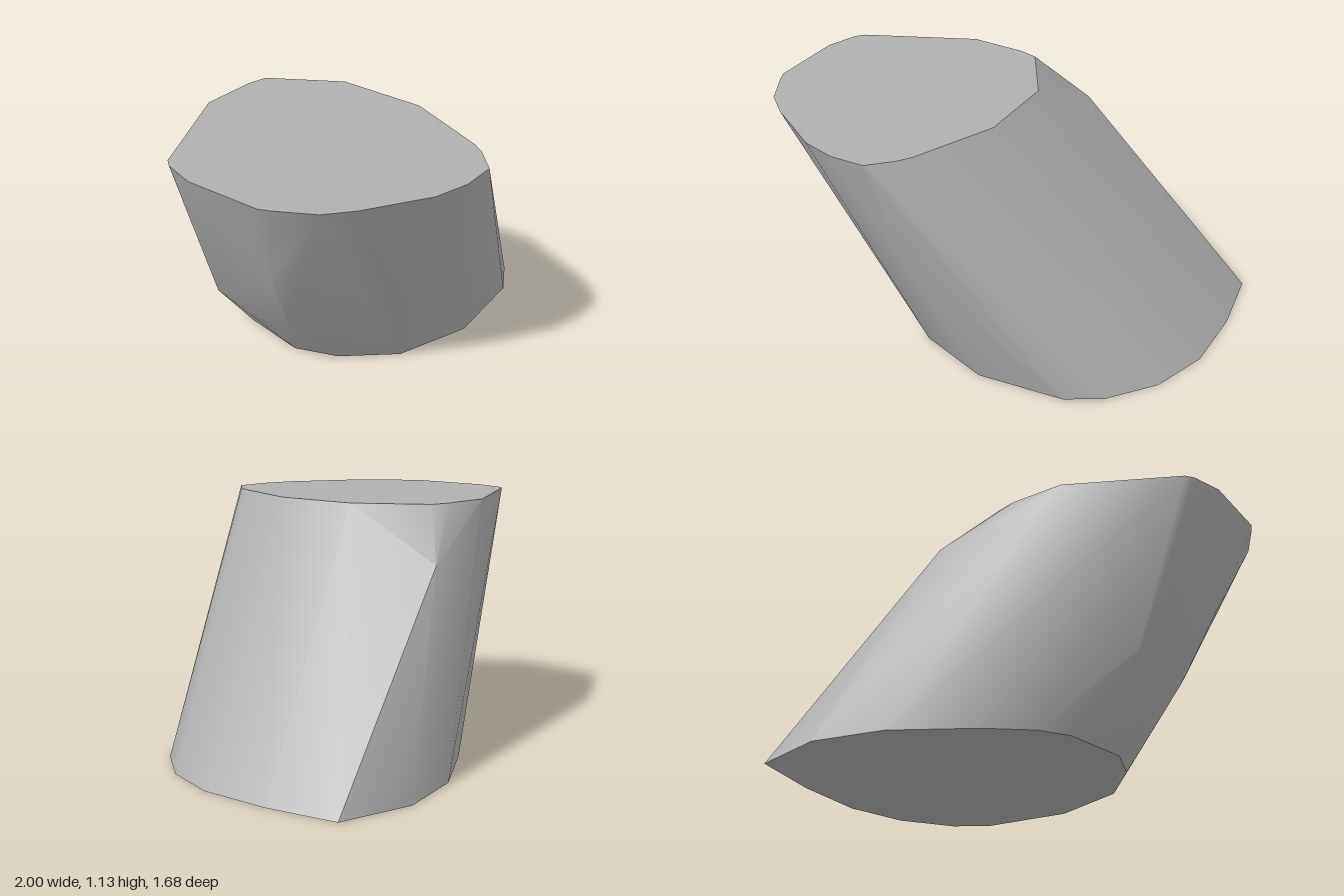
import * as THREE from 'three';
import { toCreasedNormals } from 'three/addons/utils/BufferGeometryUtils.js';
import { ConvexGeometry } from 'three/addons/geometries/ConvexGeometry.js';

const HEIGHT = 1.135;

// Flat outlines as [x, z]
const topOutline = [
  [-1, -0.07], [-0.95, -0.22], [-0.92, -0.255], [-0.42, -0.475], [-0.16, -0.46],
  [-0.075, -0.435], [0.11, -0.12], [0.11, 0.29], [-0.05, 0.68], [-0.09, 0.74],
  [-0.19, 0.838], [-0.35, 0.838], [-0.51, 0.79], [-0.78, 0.61], [-0.89, 0.51],
  [-0.98, 0.34], [-1, 0.29],
];
const bottomOutline = [
  [0.95, -0.742], [1, -0.4], [1, -0.06], [0.91, 0.21], [0.74, 0.42], [0.58, 0.51],
  [0.17, 0.54], [-0.175, 0.41], [-0.36, 0.19], [-0.43, -0.01], [-0.37, -0.32],
  [-0.28, -0.45], [-0.09, -0.59], [0.26, -0.78], [0.6, -0.842],
];
// Corners that bulge between the two caps, as [x, y, z]
const sideCorners = [
  [0.13, 0.9, -0.61], [-0.1, 0.68, 0.735],
  [-0.82, 0.66, 0.2], [-0.67, 0.35, 0.15], [-0.67, 0.36, -0.25], [-0.57, 0.19, 0],
];

export function createModel() {
  const stone = new THREE.MeshStandardMaterial({ color: 0xb0b0b0 });
  stone.name = 'stone grey';

  // Slanted column: the convex skin around both caps and the side corners
  const points = [
    ...topOutline.map(([x, z]) => new THREE.Vector3(x, HEIGHT, z)),
    ...bottomOutline.map(([x, z]) => new THREE.Vector3(x, 0, z)),
    ...sideCorners.map((p) => new THREE.Vector3(...p)),
  ];
  const geometry = toCreasedNormals(new ConvexGeometry(points), THREE.MathUtils.degToRad(30));
  const column = new THREE.Mesh(geometry, stone);
  column.name = 'slantedColumn';

  const model = new THREE.Group();
  model.name = 'slantedBlock';
  model.add(column);
  return model;
}
